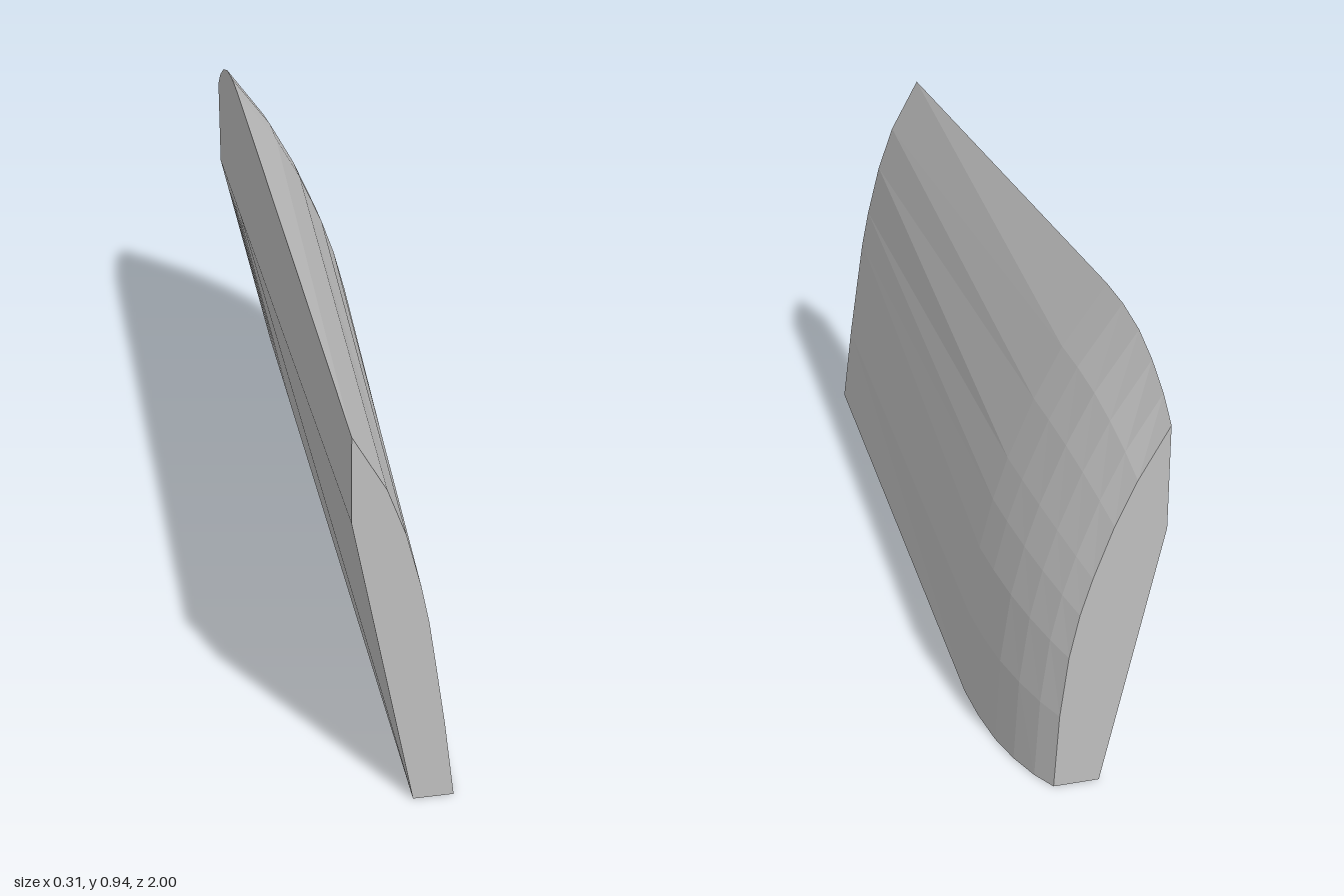
import * as THREE from 'three';

const lerp = THREE.MathUtils.lerp;

// Outer curve at three stations: heights are shares of the crest height
const rise = [0, 0.21, 0.38, 0.5, 0.6, 0.74, 0.86, 1];
const front = { top: 0.905, x: [0.065, 0.042, 0.02, 0.004, -0.014, -0.046, -0.085, -0.155] };
const full = { top: 0.936, x: [0.15, 0.14, 0.117, 0.088, 0.056, 0, -0.06, -0.155] };
const back = { top: 0.795, x: [0.07, 0.06, 0.043, 0.022, -0.003, -0.045, -0.09, -0.155] };

// Closed section at z: inner foot, outer curve from foot to crest, inner shoulder
function section(z, from, to, t) {
  const along = (1 - z) / 2;
  const top = lerp(from.top, to.top, t);
  const outer = rise.map((r, i) => new THREE.Vector3(lerp(from.x[i], to.x[i], t), r * top, z));
  return [
    new THREE.Vector3(lerp(-0.022, -0.028, along), 0, z),
    ...outer,
    new THREE.Vector3(-0.155, lerp(0.71, 0.57, along), z),
  ];
}

// Skin between the sections, with flat caps at both ends
function loft(sections) {
  const points = [];
  const n = sections[0].length;
  for (let i = 0; i < sections.length - 1; i++) {
    const p = sections[i], q = sections[i + 1];
    for (let j = 0; j < n; j++) {
      const k = (j + 1) % n;
      points.push(p[j], q[j], p[k], p[k], q[j], q[k]);
    }
  }
  const first = sections[0], last = sections[sections.length - 1];
  for (let j = 1; j < n - 1; j++) {
    points.push(first[0], first[j], first[j + 1]);
    points.push(last[0], last[j + 1], last[j]);
  }
  const geometry = new THREE.BufferGeometry().setFromPoints(points);
  geometry.computeVertexNormals();
  return geometry;
}

export function createModel() {
  const grey = new THREE.MeshStandardMaterial({ color: 0xc0c0c0, flatShading: true });
  grey.name = 'light grey';

  // Straight taper up to the fullest section, then a rounded run to the back end
  const sections = [section(1, front, full, 0), section(-0.6, front, full, 1)];
  const rounding = [[-0.7, 0.03], [-0.8, 0.15], [-0.88, 0.37], [-0.95, 0.67], [-1, 1]];
  for (const [z, t] of rounding) sections.push(section(z, full, back, t));

  const panel = new THREE.Mesh(loft(sections), grey);
  panel.name = 'curvedPanel';

  const model = new THREE.Group();
  model.name = 'curvedSidePanel';
  model.add(panel);
  return model;
}
